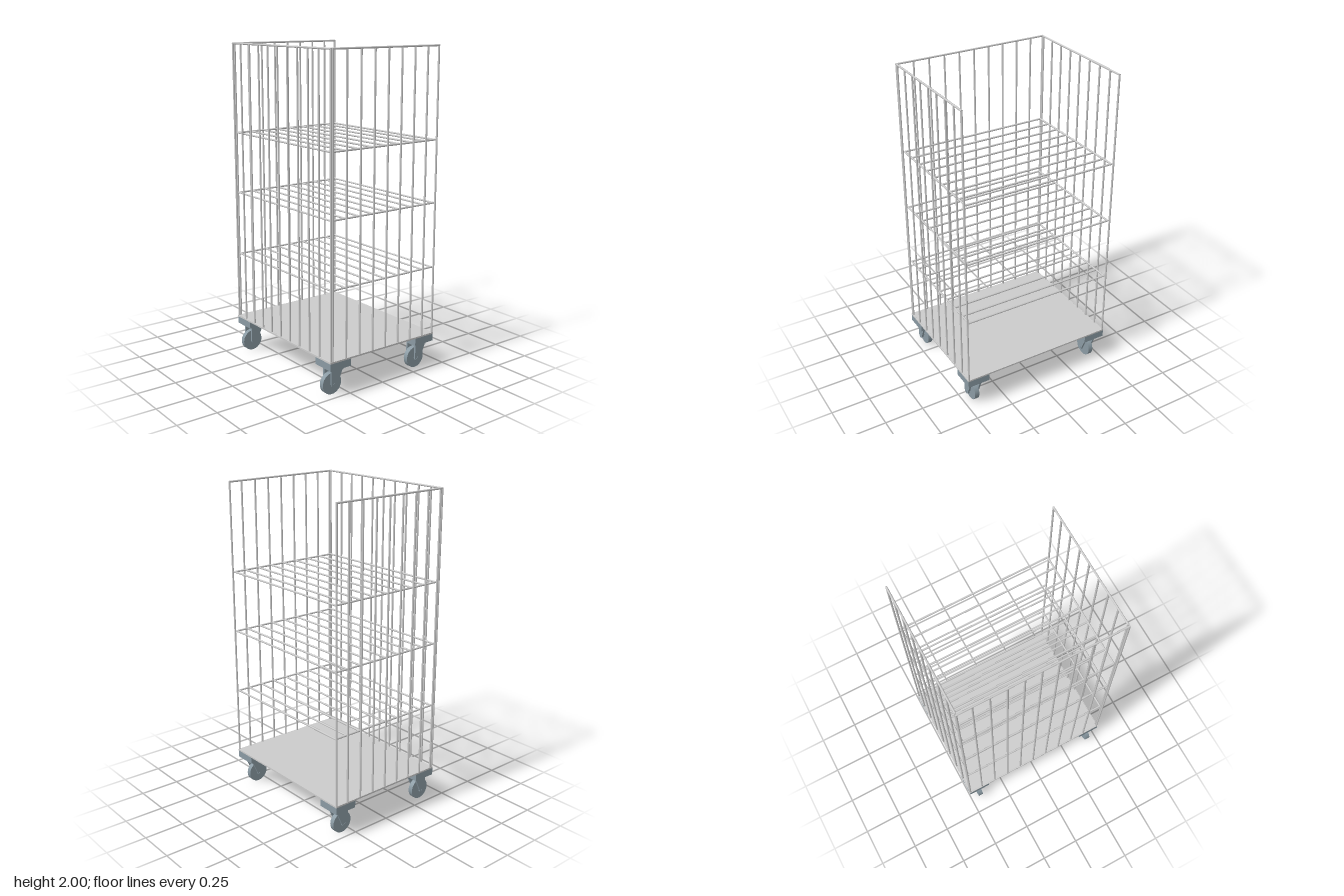
import * as THREE from 'three';

const steel = new THREE.MeshStandardMaterial({ color: 0xcccccc });
const casterMetal = new THREE.MeshStandardMaterial({ color: 0x8a9aa3 });
const R = 0.006; // wire radius
const TOP = 2 - R, BASE = 0.222;
const X0 = -0.378, X1 = 0.4, XL = -0.391, Z = 0.499, ZS = 0.487;

function add(group, name, geometry, material, x = 0, y = 0, z = 0) {
  const mesh = new THREE.Mesh(geometry, material);
  mesh.name = name;
  mesh.position.set(x, y, z);
  group.add(mesh);
  return mesh;
}

// Straight wire between two points
function rod(group, name, a, b) {
  const from = new THREE.Vector3(...a), to = new THREE.Vector3(...b);
  const dir = to.clone().sub(from);
  const mesh = add(group, name, new THREE.CylinderGeometry(R, R, dir.length() + R, 8), steel);
  mesh.position.copy(from).add(to).multiplyScalar(0.5);
  mesh.quaternion.setFromUnitVectors(new THREE.Vector3(0, 1, 0), dir.normalize());
}

function part(parent, name) {
  const group = new THREE.Group();
  group.name = name;
  parent.add(group);
  return group;
}

const barX = Array.from({ length: 7 }, (_, i) => -0.28 + 0.099 * i);
const barZ = Array.from({ length: 9 }, (_, i) => -0.41 + 0.1 * i);

// Front or back wall: two rails and upright bars
function endWall(parent, name, z) {
  const wall = part(parent, name);
  for (const y of [BASE, TOP]) rod(wall, 'rail', [X0, y, z], [X1, y, z]);
  for (const x of [X0, ...barX, X1]) rod(wall, 'upright', [x, BASE, z], [x, TOP, z]);
}

function sideWall(parent) {
  const wall = part(parent, 'sideWall');
  for (const y of [BASE, TOP]) rod(wall, 'rail', [XL, y, -Z], [XL, y, Z]);
  for (const z of [-Z, ...barZ, Z]) rod(wall, 'upright', [XL, BASE, z], [XL, TOP, z]);
}

// Wire shelf with bars running front to back
function shelf(parent, y) {
  const group = part(parent, 'shelf');
  for (const z of [-ZS, ZS]) rod(group, 'shelfRail', [X0, y, z], [X1 - 0.005, y, z]);
  for (const x of [X0, ...barX, X1 - 0.005]) rod(group, 'shelfBar', [x, y, -ZS], [x, y, ZS]);
}

// Swivel caster whose wheel trails toward -x
function caster(parent, x, z) {
  const group = part(parent, 'caster');
  group.position.set(x, 0, z);
  add(group, 'mountPlate', new THREE.BoxGeometry(0.147, 0.045, 0.145), casterMetal, 0, 0.195, 0);
  add(group, 'swivelRing', new THREE.CylinderGeometry(0.06, 0.045, 0.012, 24), casterMetal, 0, 0.168, 0);
  add(group, 'forkCrown', new THREE.BoxGeometry(0.085, 0.015, 0.085), casterMetal, 0, 0.158, 0);

  // Tapered cheek plate with a rounded lower end
  const cheek = new THREE.Shape();
  cheek.moveTo(0.043, 0.165);
  cheek.lineTo(-0.043, 0.165);
  cheek.lineTo(-0.043, 0.068);
  cheek.absarc(-0.02, 0.068, 0.021, Math.PI, Math.PI * 2, false);
  cheek.closePath();
  const cheekGeometry = new THREE.ExtrudeGeometry(cheek, { depth: 0.012, bevelEnabled: false, curveSegments: 8 });
  for (const cz of [-0.042, 0.03]) add(group, 'forkCheek', cheekGeometry, casterMetal, 0, 0, cz);

  const axis = (name, r, width) => {
    add(group, name, new THREE.CylinderGeometry(r, r, width, 32), casterMetal, -0.02, 0.067, 0).rotation.x = Math.PI / 2;
  };
  axis('wheel', 0.067, 0.03);
  axis('axle', 0.01, 0.088);
}

export function createModel() {
  const model = new THREE.Group();
  model.name = 'rollCage';

  add(model, 'basePlate', new THREE.BoxGeometry(0.804, 0.01, 1.01), steel, 0.004, BASE, 0);

  endWall(model, 'frontWall', Z);
  endWall(model, 'backWall', -Z);
  sideWall(model);
  for (const y of [0.65, 1.055, 1.44]) shelf(model, y);

  for (const x of [-0.323, 0.332]) for (const z of [-0.432, 0.432]) caster(model, x, z);
  return model;
}
